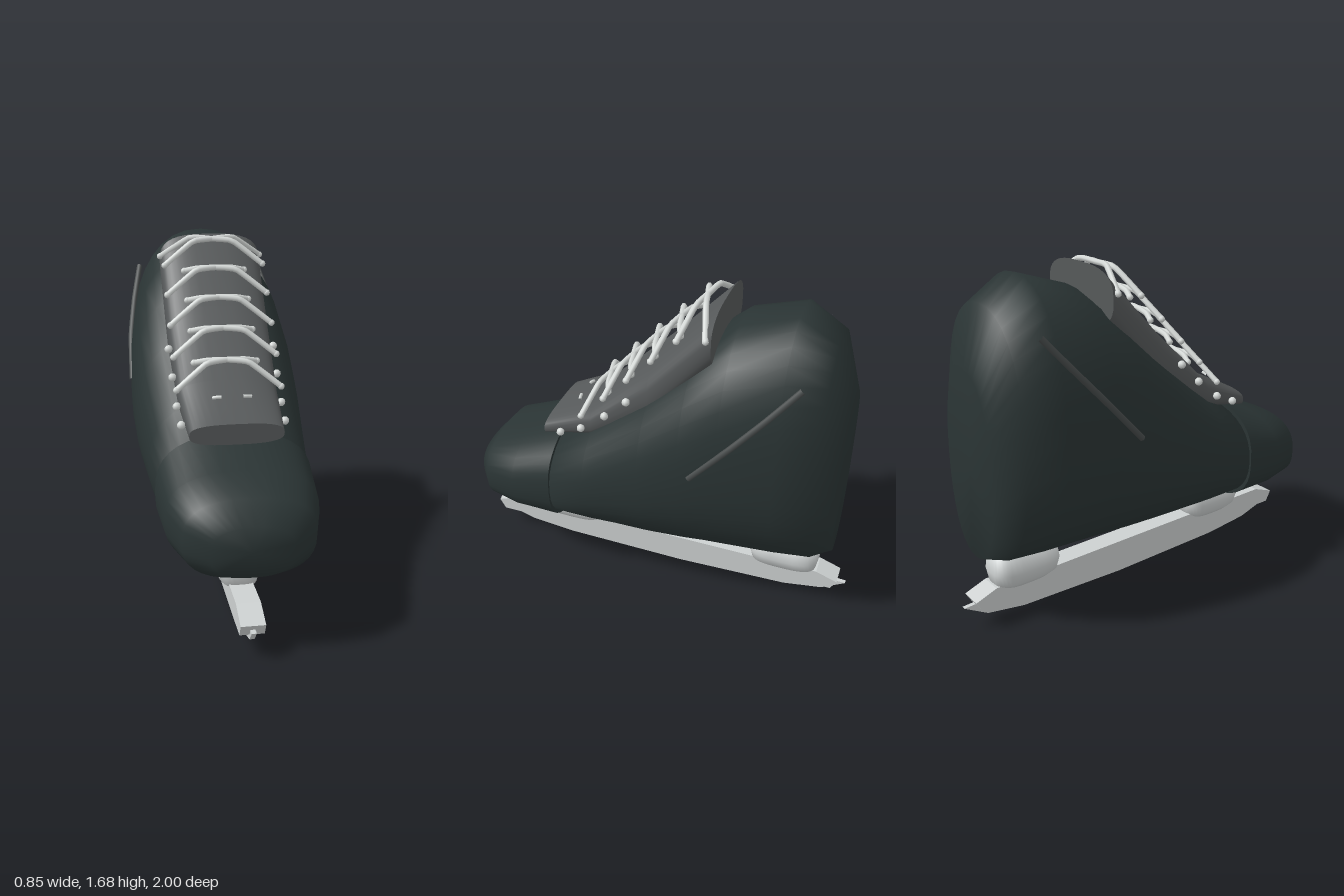
import * as THREE from 'three';

const SEG = 36;

// Loft of superelliptic sections [z, halfWidth, yBottom, yTop], listed from back to front.
// flatBack / flatFront give an end a hard edge instead of a smooth one.
function loft(sections, power, flatBack = false, flatFront = false) {
  const pos = [], index = [];
  const ring = ([z, hw, y0, y1]) => {
    const start = pos.length / 3;
    for (let j = 0; j < SEG; j++) {
      const t = (j / SEG) * Math.PI * 2, c = Math.cos(t), s = Math.sin(t);
      const px = Math.sign(c) * Math.abs(c) ** (2 / power);
      const py = Math.sign(s) * Math.abs(s) ** (2 / power);
      pos.push(hw * px, (y0 + y1) / 2 + ((y1 - y0) / 2) * py, z);
    }
    return start;
  };
  const starts = sections.map(ring);
  for (let i = 0; i < starts.length - 1; i++) {
    for (let j = 0; j < SEG; j++) {
      const k = (j + 1) % SEG, a = starts[i], b = starts[i + 1];
      index.push(a + j, a + k, b + j, a + k, b + k, b + j);
    }
  }
  const cap = (section, start, flat, front) => {
    const r = flat ? ring(section) : start;
    const centre = pos.length / 3;
    pos.push(0, (section[2] + section[3]) / 2, section[0]);
    for (let j = 0; j < SEG; j++) {
      const k = (j + 1) % SEG;
      index.push(centre, r + (front ? j : k), r + (front ? k : j));
    }
  };
  cap(sections[0], starts[0], flatBack, false);
  cap(sections.at(-1), starts.at(-1), flatFront, true);
  const g = new THREE.BufferGeometry();
  g.setAttribute('position', new THREE.Float32BufferAttribute(pos, 3));
  g.setIndex(index);
  g.computeVertexNormals();
  return g;
}

// Plate of the given thickness from a side outline of [z, y] points
function sidePlate(outline, thickness) {
  const shape = new THREE.Shape(outline.map(([z, y]) => new THREE.Vector2(-z, y)));
  const g = new THREE.ExtrudeGeometry(shape, { depth: thickness, bevelEnabled: false });
  g.translate(0, 0, -thickness / 2);
  g.rotateY(Math.PI / 2);
  return g;
}

function cord(points, radius, steps = 20) {
  const curve = new THREE.CatmullRomCurve3(points.map(p => new THREE.Vector3(...p)), false, 'catmullrom', 0.2);
  return new THREE.TubeGeometry(curve, steps, radius, 7);
}

export function createModel() {
  const model = new THREE.Group();
  const material = (name, color) => {
    const m = new THREE.MeshStandardMaterial({ color });
    m.name = name;
    return m;
  };
  const leather = material('dark leather', 0x2a3434);
  const padding = material('grey tongue', 0x56595a);
  const strapGrey = material('strap grey', 0x474b4b);
  const metal = material('light metal', 0xcdd1d1);
  const laceWhite = material('lace white', 0xd6dad8);

  const add = (name, geometry, mat, parent = model) => {
    const mesh = new THREE.Mesh(geometry, mat);
    mesh.name = name;
    parent.add(mesh);
    return mesh;
  };
  const group = name => {
    const g = new THREE.Group();
    g.name = name;
    model.add(g);
    return g;
  };

  // Boot shell and toe cap
  add('boot', loft([
    [-0.915, 0.2, 0.37, 1.28], [-0.82, 0.34, 0.345, 1.56], [-0.64, 0.385, 0.335, 1.67],
    [-0.38, 0.41, 0.33, 1.585], [-0.2, 0.42, 0.33, 1.43], [0, 0.412, 0.33, 1.24],
    [0.3, 0.378, 0.33, 0.98], [0.52, 0.35, 0.335, 0.83],
  ], 2.3), leather);
  add('toeCap', loft([
    [0.49, 0.365, 0.33, 0.86], [0.71, 0.345, 0.335, 0.76],
    [0.885, 0.29, 0.345, 0.705], [0.97, 0.18, 0.385, 0.61],
  ], 2.6, true), leather);

  // Tongue
  add('tongue', loft([
    [-0.3, 0.255, 1.4, 1.675], [0, 0.25, 1.04, 1.355], [0.3, 0.235, 0.88, 1.06], [0.56, 0.215, 0.83, 0.925],
  ], 2.9, true, true), padding);

  // Crossed laces, each rising from one side and tucking in at the other
  const laces = group('laces');
  for (let i = 0; i < 5; i++) {
    const y = 1.03 + 0.127 * i, z = 0.34 - 0.12 * i;
    const last = i === 4;
    for (const s of [-1, 1]) {
      const end = last
        ? [[-s * 0.11, y + 0.125, z - 0.09], [-s * 0.255, y + 0.03, z - 0.135]]
        : [[-s * 0.09, y + 0.115, z - 0.085], [-s * 0.15, y + 0.1, z - 0.11]];
      add('lace', cord([
        [s * 0.245, y, z], [s * 0.1, y + 0.11, z - 0.04], [0, y + 0.12, z - 0.065], ...end,
      ], 0.014), laceWhite, laces);
      for (const p of [[s * 0.245, y, z], end[1]]) {
        add('laceEnd', new THREE.SphereGeometry(0.016, 8, 6), laceWhite, laces).position.set(...p);
      }
    }
  }

  // Eyelets down both edges and the lowest lace just showing through the tongue
  for (const s of [-1, 1]) {
    for (const [x, y, z] of [[0.238, 0.9, 0.46], [0.245, 0.955, 0.345], [0.25, 1.06, 0.215], [0.255, 1.17, 0.1]]) {
      add('eyelet', new THREE.SphereGeometry(0.02, 8, 6), laceWhite, laces).position.set(s * x, y, z);
    }
    add('lowestLace', cord([[s * 0.09, 1.008, 0.415], [s * 0.07, 1.012, 0.42], [s * 0.05, 1.012, 0.423]], 0.008, 4), laceWhite, laces);
  }

  // Slanted side straps
  for (const s of [-1, 1]) {
    add('sideStrap', cord([
      [s * 0.33, 1.465, -0.725], [s * 0.372, 1.3, -0.585], [s * 0.403, 1.13, -0.435], [s * 0.412, 0.935, -0.26],
    ], 0.015), strapGrey);
  }

  // Supports under the sole
  for (const z of [0.52, -0.67]) {
    const g = loft([
      [-0.35, 0.095, -0.17, 0.17], [-0.26, 0.11, -0.18, 0.18], [-0.2, 0.09, -0.17, 0.17], [-0.16, 0.05, -0.125, 0.125],
    ], 3.2);
    g.rotateX(Math.PI / 2);
    add('bladeSupport', g, metal).position.z = z;
  }

  // Holder bar and blade
  add('bladeHolder', sidePlate([
    [0.98, 0.165], [0.86, 0.21], [-0.85, 0.2], [-0.96, 0.16], [-0.93, 0.108], [0.95, 0.108],
  ], 0.11), metal);
  add('blade', sidePlate([
    [1, 0.14], [0.95, 0.085], [0.8, 0.038], [0.55, 0.012], [-0.1, 0], [-0.68, 0.018],
    [-0.88, 0.053], [-1, 0.125], [-0.9, 0.13], [0.9, 0.14],
  ], 0.022), metal);

  return model;
}
